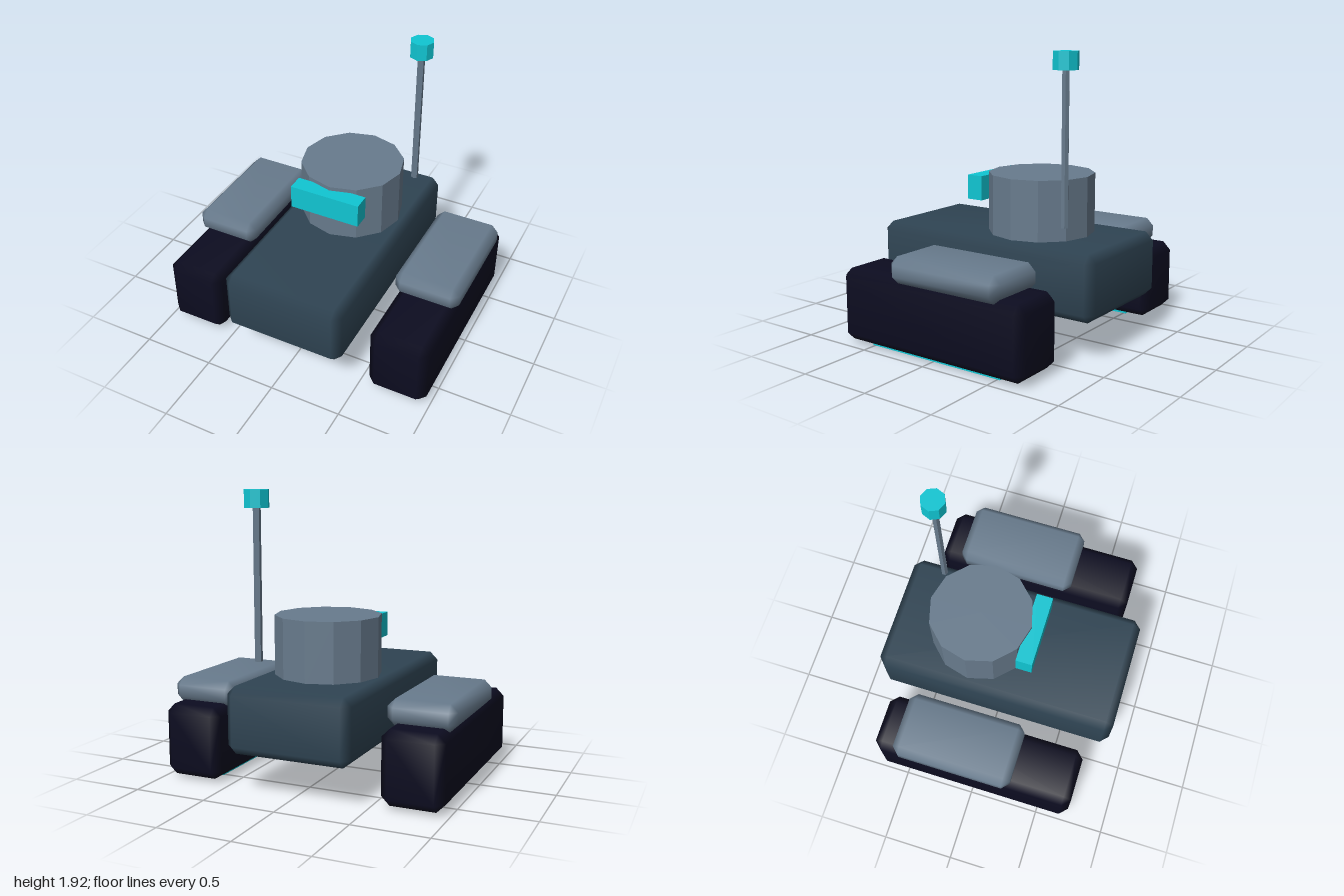
import * as THREE from 'three';
import { mergeVertices } from 'three/addons/utils/BufferGeometryUtils.js';
import { ConvexGeometry } from 'three/addons/geometries/ConvexGeometry.js';

// Box with a single cut along every edge, shaded smoothly
function bevelBox(w, h, d, bevel) {
  const points = [];
  for (const x of [-1, 1]) for (const y of [-1, 1]) for (const z of [-1, 1]) {
    for (let axis = 0; axis < 3; axis++) {
      const inset = [bevel, bevel, bevel];
      inset[axis] = 0;
      points.push(new THREE.Vector3(
        x * (w / 2 - inset[0]), y * (h / 2 - inset[1]), z * (d / 2 - inset[2])));
    }
  }
  const geometry = new ConvexGeometry(points);
  geometry.deleteAttribute('normal');
  const smooth = mergeVertices(geometry);
  smooth.computeVertexNormals();
  return smooth;
}

// Flat-sided upright prism
function prism(radius, height, sides) {
  const geometry = new THREE.CylinderGeometry(radius, radius, height, sides).toNonIndexed();
  geometry.computeVertexNormals();
  return geometry;
}

export function createModel() {
  const model = new THREE.Group();
  model.name = 'hoverTank';

  const material = (name, color) => {
    const m = new THREE.MeshStandardMaterial({ color });
    m.name = name;
    return m;
  };
  const slate = material('dark slate', 0x2f4453);
  const steel = material('steel grey', 0x687b8d);
  const black = material('blue black', 0x0c0c20);
  const cyan = material('cyan glow', 0x10c6d3);

  const add = (name, geometry, mat, x, y, z, parent = model) => {
    const mesh = new THREE.Mesh(geometry, mat);
    mesh.name = name;
    mesh.position.set(x, y, z);
    parent.add(mesh);
  };

  // Hull and turret
  add('hull', bevelBox(0.855, 0.44, 1.72, 0.055), slate, 0, 0.485, 0);
  add('turret', prism(0.357, 0.41, 12), steel, 0, 0.9, -0.21);
  add('visor', new THREE.BoxGeometry(0.5, 0.165, 0.115), cyan, 0, 0.995, 0.166);

  // Antenna at the rear left
  add('antennaMast', prism(0.025, 0.99, 6), steel, 0.315, 1.325, -0.593);
  add('antennaBeacon', prism(0.082, 0.114, 8), cyan, 0.315, 1.867, -0.593);

  // Side pods with armour and glowing underside pads
  for (const [side, s] of [['left', 1], ['right', -1]]) {
    const pod = new THREE.Group();
    pod.name = side + 'Pod';
    add(side + 'Skid', bevelBox(0.41, 0.485, 1.445, 0.055), black, s * 0.77, 0.265, 0, pod);
    add(side + 'Armour', bevelBox(0.455, 0.175, 0.85, 0.05), steel, s * 0.772, 0.57, -0.14, pod);
    add(side + 'HoverPad', new THREE.BoxGeometry(0.25, 0.04, 1.035), cyan, s * 0.77, 0.02, 0, pod);
    model.add(pod);
  }
  return model;
}
